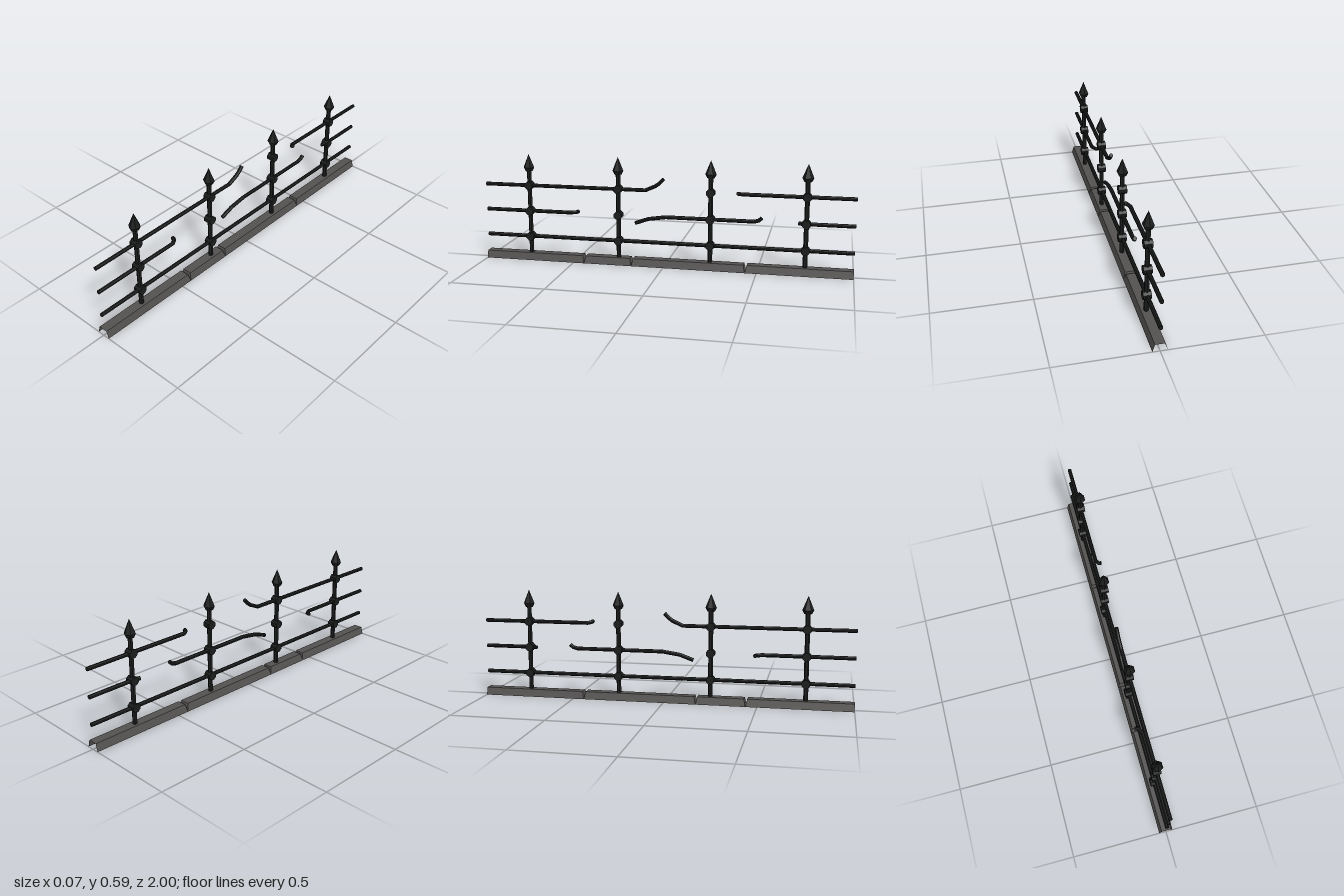
import * as THREE from 'three';

const iron = new THREE.MeshStandardMaterial({ color: 0x1b1c1c, flatShading: true });
iron.name = 'wroughtIron';
const stone = new THREE.MeshStandardMaterial({ color: 0x545251, flatShading: true, side: THREE.DoubleSide });
stone.name = 'greyStone';

function add(parent, name, geometry, material, x = 0, y = 0, z = 0) {
  const mesh = new THREE.Mesh(geometry, material);
  mesh.name = name;
  mesh.position.set(x, y, z);
  parent.add(mesh);
  return mesh;
}

// Capped octagonal bar swept through a few points
function barGeometry(points, radius = 0.0105, sides = 8) {
  const path = points.map((p) => new THREE.Vector3(...p));
  const up = new THREE.Vector3(0, 1, 0);
  const pos = [];
  const index = [];
  const last = path.length - 1;
  path.forEach((p, i) => {
    const t = path[Math.min(i + 1, last)].clone().sub(path[i]).normalize();
    if (i > 0) t.add(p.clone().sub(path[i - 1]).normalize());
    if (i === last) t.copy(p).sub(path[i - 1]);
    t.normalize();
    const u = new THREE.Vector3().crossVectors(up, t).normalize();
    const v = new THREE.Vector3().crossVectors(t, u);
    for (let s = 0; s < sides; s++) {
      const a = ((s + 0.5) / sides) * Math.PI * 2;
      const q = p.clone().addScaledVector(u, Math.cos(a) * radius).addScaledVector(v, Math.sin(a) * radius);
      pos.push(q.x, q.y, q.z);
    }
  });
  for (let i = 0; i < last; i++) {
    for (let s = 0; s < sides; s++) {
      const a = i * sides + s;
      const b = i * sides + ((s + 1) % sides);
      index.push(a, b, b + sides, a, b + sides, a + sides);
    }
  }
  for (let s = 1; s < sides - 1; s++) {
    const e = last * sides;
    index.push(0, s + 1, s, e, e + s, e + s + 1);
  }
  const g = new THREE.BufferGeometry();
  g.setAttribute('position', new THREE.Float32BufferAttribute(pos, 3));
  g.setIndex(index);
  const flat = g.toNonIndexed();
  flat.computeVertexNormals();
  return flat;
}

// Hollow kerb piece, open below; bevelled ends are closed
function kerbGeometry(z0, z1, bevel0, bevel1) {
  const section = [[-0.036, 0], [-0.025, 0.04], [0.025, 0.04], [0.036, 0]];
  const pos = [];
  const ring = (z, inset) => section.map(([x, y]) => [x, y, z + (y > 0 ? inset : 0)]);
  const a = ring(z0, bevel0);
  const b = ring(z1, -bevel1);
  const quad = (p, q, r, s) => pos.push(...p, ...q, ...r, ...p, ...r, ...s);
  for (let i = 0; i < 3; i++) quad(a[i], b[i], b[i + 1], a[i + 1]);
  if (bevel0) quad(a[0], a[1], a[2], a[3]);
  if (bevel1) quad(b[3], b[2], b[1], b[0]);
  const g = new THREE.BufferGeometry();
  g.setAttribute('position', new THREE.Float32BufferAttribute(pos, 3));
  g.computeVertexNormals();
  return g;
}

export function createModel() {
  const model = new THREE.Group();
  model.name = 'brokenFence';

  // Kerb pieces separated by narrow V joints
  const joints = [-1, -0.44, 0.175, 0.44, 1];
  for (let i = 0; i < 4; i++) {
    add(model, 'kerb', kerbGeometry(joints[i], joints[i + 1], i > 0 ? 0.009 : 0, i < 3 ? 0.009 : 0), stone);
  }

  // Posts with spear heads and round collars
  const low = 0.13, mid = 0.273, high = 0.415;
  const shaft = new THREE.CylinderGeometry(0.0125, 0.0125, 0.48, 6);
  const spear = new THREE.ConeGeometry(0.03, 0.073, 6, 1, true);
  const spearBase = new THREE.CylinderGeometry(0.03, 0.02, 0.02, 6);
  const collar = new THREE.CylinderGeometry(0.0235, 0.0235, 0.042, 8);
  collar.rotateY(Math.PI / 8).rotateZ(Math.PI / 2);
  for (const z of [-0.75, -0.25, 0.25, 0.75]) {
    const post = new THREE.Group();
    post.name = 'post';
    post.position.z = z;
    model.add(post);
    add(post, 'shaft', shaft, iron, 0, 0.26);
    add(post, 'spearBase', spearBase, iron, 0, 0.505);
    add(post, 'spearTip', spear, iron, 0, 0.5515);
    for (const y of [low, mid, high]) add(post, 'collar', collar, iron, 0, y);
  }

  // Rails, several snapped and bent
  const rails = {
    lowerRail: [[0, low, 1], [0, low, -1]],
    upperFrontRail: [[0, high, 1], [0, high, 0.1], [0, 0.44, 0.045], [0, 0.455, 0.025], [0, 0.479, 0.002]],
    upperBackRail: [[0.023, 0.423, -0.397], [0.012, 0.419, -0.4], [0, high, -0.42], [0, high, -1]],
    middleFrontRail: [[0, mid, 1], [0, mid, 0.52], [-0.016, mid, 0.492], [-0.034, mid, 0.486]],
    middleRail: [[0, 0.233, 0.157], [0, 0.259, 0.085], [0, 0.273, -0.01], [0, mid, -0.48],
      [0, 0.28, -0.505], [0, 0.294, -0.52]],
    middleBackRail: [[-0.008, mid, -0.71], [0, mid, -0.74], [0, mid, -1]],
  };
  for (const [name, points] of Object.entries(rails)) add(model, name, barGeometry(points), iron);

  return model;
}
